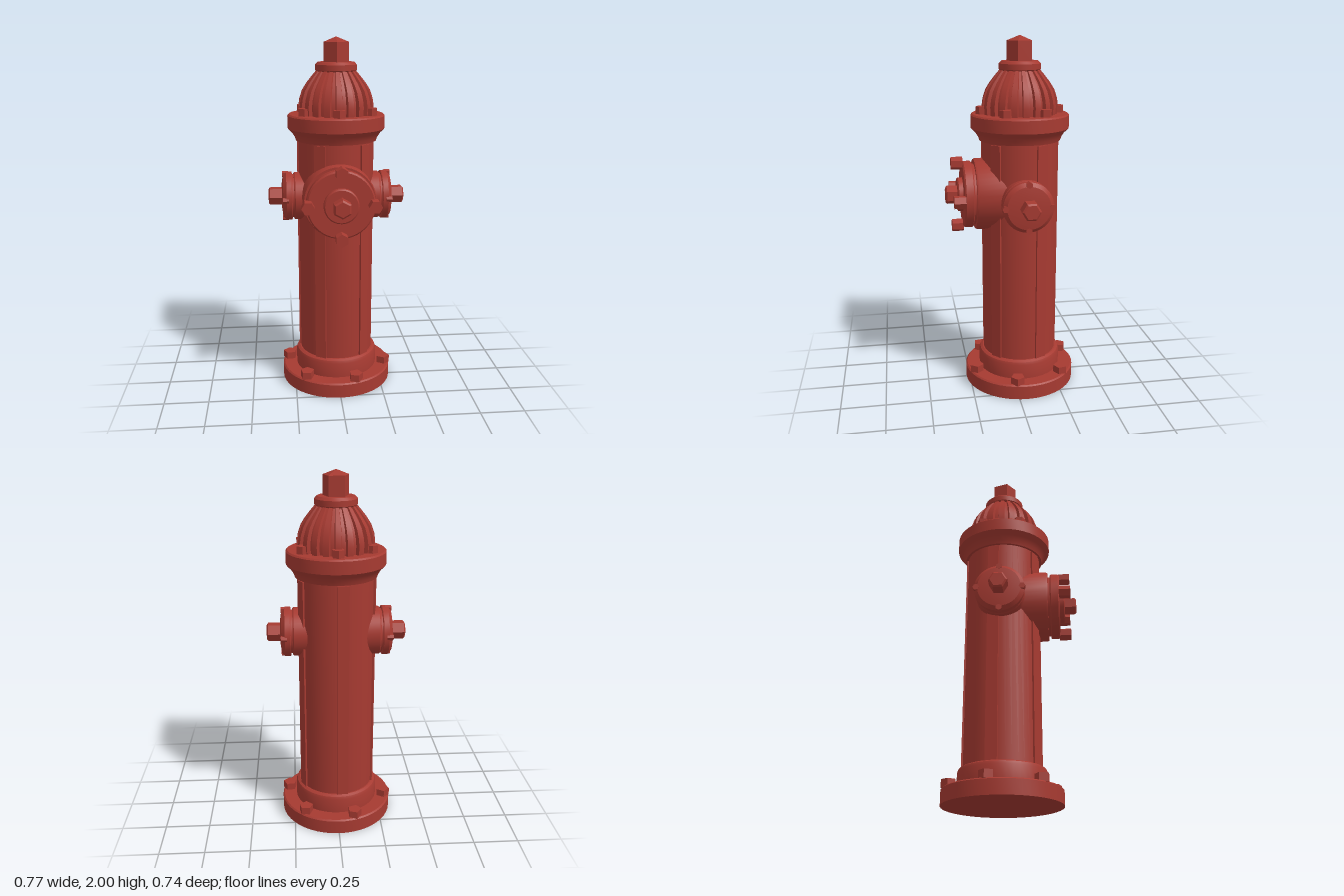
import * as THREE from 'three';
import { toCreasedNormals } from 'three/addons/utils/BufferGeometryUtils.js';

const AXIS_Z = -0.05; // the barrel stands slightly behind the centre
const red = new THREE.MeshStandardMaterial({ color: 0xa63a31 });
red.name = 'hydrant red';

function add(parent, name, geometry) {
  const mesh = new THREE.Mesh(toCreasedNormals(geometry, 0.5), red);
  mesh.name = name;
  parent.add(mesh);
  return mesh;
}

// Solid of revolution from [radius, height] pairs, bottom to top
function turned(points, segments = 40) {
  return new THREE.LatheGeometry(points.map(([r, y]) => new THREE.Vector2(r, y)), segments);
}

function prism(r, h, sides) {
  return new THREE.CylinderGeometry(r, r, h, sides);
}

// Ring of nuts standing on a horizontal plate
function boltRing(parent, name, { count, radius, y, height, size, sides, start }) {
  for (let i = 0; i < count; i++) {
    const a = start + (i / count) * Math.PI * 2;
    const nut = add(parent, name, prism(size, height, sides));
    nut.position.set(Math.sin(a) * radius, y, Math.cos(a) * radius);
    nut.rotation.y = a;
  }
}

// Dome whose radius steps in and out around the axis to form raised ribs
function flutedDome(profile, ribs) {
  const geo = turned(profile, ribs * 4);
  const pos = geo.attributes.position;
  const pitch = (Math.PI * 2) / ribs;
  const edges = [-0.25, 0.25, 0.33, 0.67];
  for (let i = 0; i < pos.count; i++) {
    const step = Math.floor(i / profile.length);
    const [r, y] = profile[i % profile.length];
    const k = step % 4;
    const a = (Math.floor(step / 4) + edges[k]) * pitch;
    const radius = k < 2 ? r : r * 0.9;
    pos.setXYZ(i, Math.sin(a) * radius, y, Math.cos(a) * radius);
  }
  return geo;
}

// Large front outlet, built along +y and then turned to face forward
function frontOutlet() {
  const g = new THREE.Group();
  g.name = 'frontOutlet';
  add(g, 'frontPipe', turned([[0.2, 0], [0.2, 0.25], [0.195, 0.26], [0, 0.26]]));
  add(g, 'frontNeck', turned([[0.17, 0.25], [0.17, 0.28]]));
  add(g, 'frontCap', turned([
    [0, 0.272], [0.18, 0.272], [0.186, 0.278], [0.186, 0.318], [0.178, 0.326],
    [0.095, 0.326], [0.095, 0.349], [0.088, 0.355], [0, 0.355],
  ]));
  add(g, 'frontCapNut', turned([[0.052, 0.35], [0.052, 0.412], [0.042, 0.42], [0, 0.42]], 6));
  boltRing(g, 'frontCapLug', {
    count: 4, radius: 0.178, y: 0.354, height: 0.064, size: 0.036, sides: 6, start: 0,
  });
  g.rotation.x = Math.PI / 2;
  g.position.y = 1.137;
  return g;
}

// Smaller side outlet; side is +1 for left, -1 for right
function sideOutlet(side) {
  const g = new THREE.Group();
  g.name = side > 0 ? 'leftOutlet' : 'rightOutlet';
  add(g, 'sidePipe', turned([[0.135, 0], [0.135, 0.235], [0.13, 0.242], [0, 0.242]]));
  add(g, 'sideNeck', turned([[0.122, 0.235], [0.122, 0.26]]));
  add(g, 'sideCap', turned([
    [0, 0.252], [0.135, 0.252], [0.138, 0.256], [0.138, 0.285],
    [0.118, 0.303], [0.07, 0.31], [0, 0.31],
  ]));
  add(g, 'sideCapNut', turned([[0.052, 0.3], [0.052, 0.377], [0.042, 0.385], [0, 0.385]], 6));
  boltRing(g, 'sideCapLug', {
    count: 4, radius: 0.126, y: 0.289, height: 0.034, size: 0.018, sides: 6, start: 0,
  });
  g.rotation.z = -side * Math.PI / 2;
  g.position.y = 1.12;
  return g;
}

export function createModel() {
  const model = new THREE.Group();
  model.name = 'fireHydrant';
  const body = new THREE.Group();
  body.name = 'body';
  body.position.z = AXIS_Z;
  model.add(body);

  // Foot plate with collar and nuts
  add(body, 'footPlate', turned([[0, 0], [0.32, 0], [0.32, 0.078], [0.312, 0.085], [0, 0.085]], 48));
  add(body, 'footCollar', turned([[0.238, 0.08], [0.238, 0.17], [0.232, 0.185], [0.218, 0.193], [0, 0.193]]));
  boltRing(body, 'footNut', {
    count: 6, radius: 0.283, y: 0.104, height: 0.044, size: 0.04, sides: 5, start: 0.33,
  });

  // Barrel with five raised strips
  add(body, 'barrel', turned([[0.211, 0.18], [0.211, 1.45]]));
  for (let i = 0; i < 5; i++) {
    const a = THREE.MathUtils.degToRad(43 + 72 * i);
    const strip = add(body, 'barrelStrip', new THREE.BoxGeometry(0.064, 1.245, 0.02));
    strip.position.set(Math.sin(a) * 0.208, 0.81, Math.cos(a) * 0.208);
    strip.rotation.y = a;
  }

  // Upper flange flaring out from the barrel
  add(body, 'upperFlange', turned([
    [0.2, 1.44], [0.225, 1.44], [0.232, 1.46], [0.248, 1.485], [0.264, 1.5],
    [0.271, 1.508], [0.271, 1.577], [0.263, 1.585], [0, 1.585],
  ], 48));
  boltRing(body, 'flangeNut', {
    count: 6, radius: 0.21, y: 1.603, height: 0.044, size: 0.034, sides: 6, start: 0,
  });

  // Fluted bonnet, collar and five-sided operating nut
  add(body, 'bonnet', flutedDome([
    [0.205, 1.58], [0.209, 1.63], [0.203, 1.67], [0.188, 1.715],
    [0.165, 1.752], [0.135, 1.79], [0.105, 1.825],
  ], 20));
  add(body, 'bonnetCollar', turned([
    [0, 1.815], [0.108, 1.815], [0.114, 1.822], [0.114, 1.852], [0.1, 1.866], [0, 1.866],
  ]));
  add(body, 'operatingNut', turned([[0.072, 1.86], [0.072, 1.972], [0, 2]], 5));

  body.add(frontOutlet(), sideOutlet(1), sideOutlet(-1));
  return model;
}
